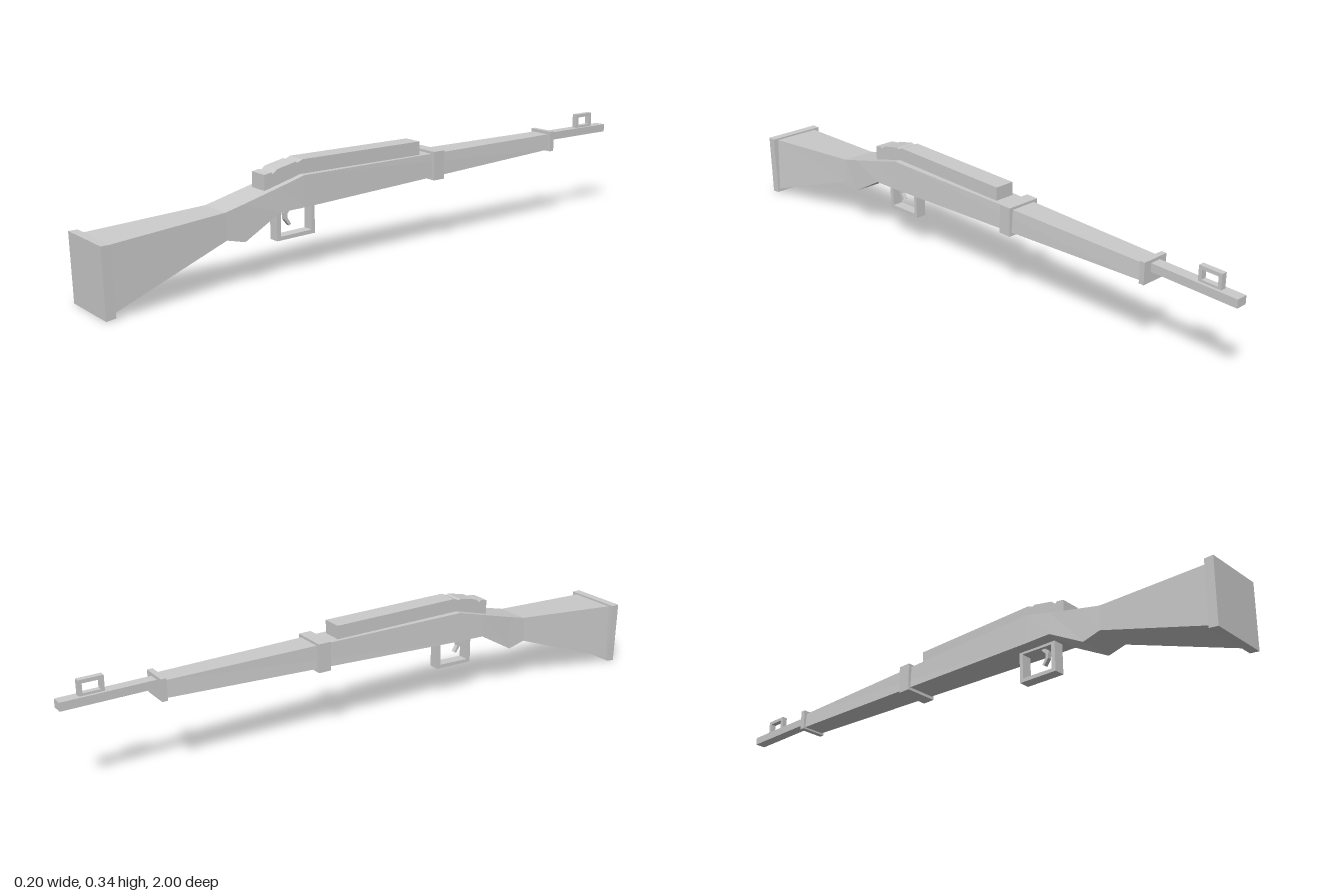
import * as THREE from 'three';

const grey = () => new THREE.MeshStandardMaterial({ color: 0xcccccc, flatShading: true, side: THREE.DoubleSide });

export function createModel() {
  const group = new THREE.Group();
  const add = (name, geometry) => {
    const mesh = new THREE.Mesh(geometry, grey());
    mesh.name = name;
    group.add(mesh);
    return mesh;
  };

  // Box given by its half width and its y and z ranges
  const block = (name, half, y0, y1, z0, z1) => {
    const mesh = add(name, new THREE.BoxGeometry(2 * half, y1 - y0, Math.abs(z1 - z0)));
    mesh.position.set(0, (y0 + y1) / 2, (z0 + z1) / 2);
    return mesh;
  };

  // Side profile of [z, y] points, extruded symmetrically across x
  const profile = (name, points, half, hole) => {
    const toVec = ([z, y]) => new THREE.Vector2(-z, y);
    const shape = new THREE.Shape(points.map(toVec));
    if (hole) shape.holes.push(new THREE.Path(hole.map(toVec)));
    const geometry = new THREE.ExtrudeGeometry(shape, { depth: 2 * half, bevelEnabled: false });
    geometry.translate(0, 0, -half).rotateY(Math.PI / 2);
    return add(name, geometry);
  };
  const rect = (z0, z1, y0, y1) => [[z0, y0], [z1, y0], [z1, y1], [z0, y1]];

  // Four-sided loft; sections are [z, bottom y, top y, bottom half width, top half width]
  const loft = (name, sections) => {
    const positions = [], index = [];
    for (const [z, b, t, wb, wt] of sections) {
      positions.push(-wb, b, z, wb, b, z, wt, t, z, -wt, t, z);
    }
    for (let s = 0; s < sections.length - 1; s++) {
      for (let i = 0; i < 4; i++) {
        const a = s * 4 + i, b = s * 4 + (i + 1) % 4;
        index.push(a, a + 4, b, b, a + 4, b + 4);
      }
    }
    const e = (sections.length - 1) * 4;
    index.push(0, 1, 2, 0, 2, 3, e, e + 2, e + 1, e, e + 3, e + 2);
    const geometry = new THREE.BufferGeometry();
    geometry.setAttribute('position', new THREE.Float32BufferAttribute(positions, 3));
    geometry.setIndex(index);
    const flat = geometry.toNonIndexed();
    flat.computeVertexNormals();
    return add(name, flat);
  };

  // Long body from the butt through the grip to the slim front
  loft('stock', [
    [0.975, 0.012, 0.2, 0.09, 0.08],
    [0.6, 0.145, 0.225, 0.06, 0.056],
    [0.54, 0.13, 0.24, 0.06, 0.056],
    [0.42, 0.198, 0.271, 0.06, 0.055],
    [0.33, 0.2, 0.295, 0.059, 0.054],
    [-0.7, 0.243, 0.295, 0.038, 0.034],
  ]);

  // Slightly tilted plate at the rear
  profile('buttPlate', [[1, 0.206], [0.972, 0.206], [0.966, 0.004], [0.995, 0]], 0.098);

  // Raised stepped cover on top
  profile('receiver', [
    [0.455, 0.257], [0.455, 0.309], [0.43, 0.313], [0.426, 0.307], [0.41, 0.32],
    [0.345, 0.334], [0.34, 0.33], [0.32, 0.338], [-0.125, 0.338], [-0.125, 0.27], [0.33, 0.27],
  ], 0.033);

  // Barrel and the two bands around the front
  block('barrel', 0.018, 0.269, 0.295, -1, -0.68);
  block('middleBand', 0.057, 0.211, 0.303, -0.207, -0.165);
  block('frontBand', 0.045, 0.237, 0.305, -0.715, -0.698);

  // Open square sight
  profile('frontSight', rect(-0.865, -0.94, 0.29, 0.342), 0.009, rect(-0.876, -0.929, 0.302, 0.331));

  // Guard frame with the curved trigger inside
  profile('triggerGuard', [[0.405, 0.205], [0.405, 0.1], [0.27, 0.104], [0.27, 0.21]], 0.018,
    [[0.391, 0.19], [0.391, 0.112], [0.282, 0.116], [0.282, 0.195]]);
  profile('trigger', [
    [0.347, 0.205], [0.372, 0.18], [0.37, 0.158], [0.355, 0.138],
    [0.348, 0.142], [0.36, 0.162], [0.36, 0.175], [0.333, 0.205],
  ], 0.007);

  return group;
}
